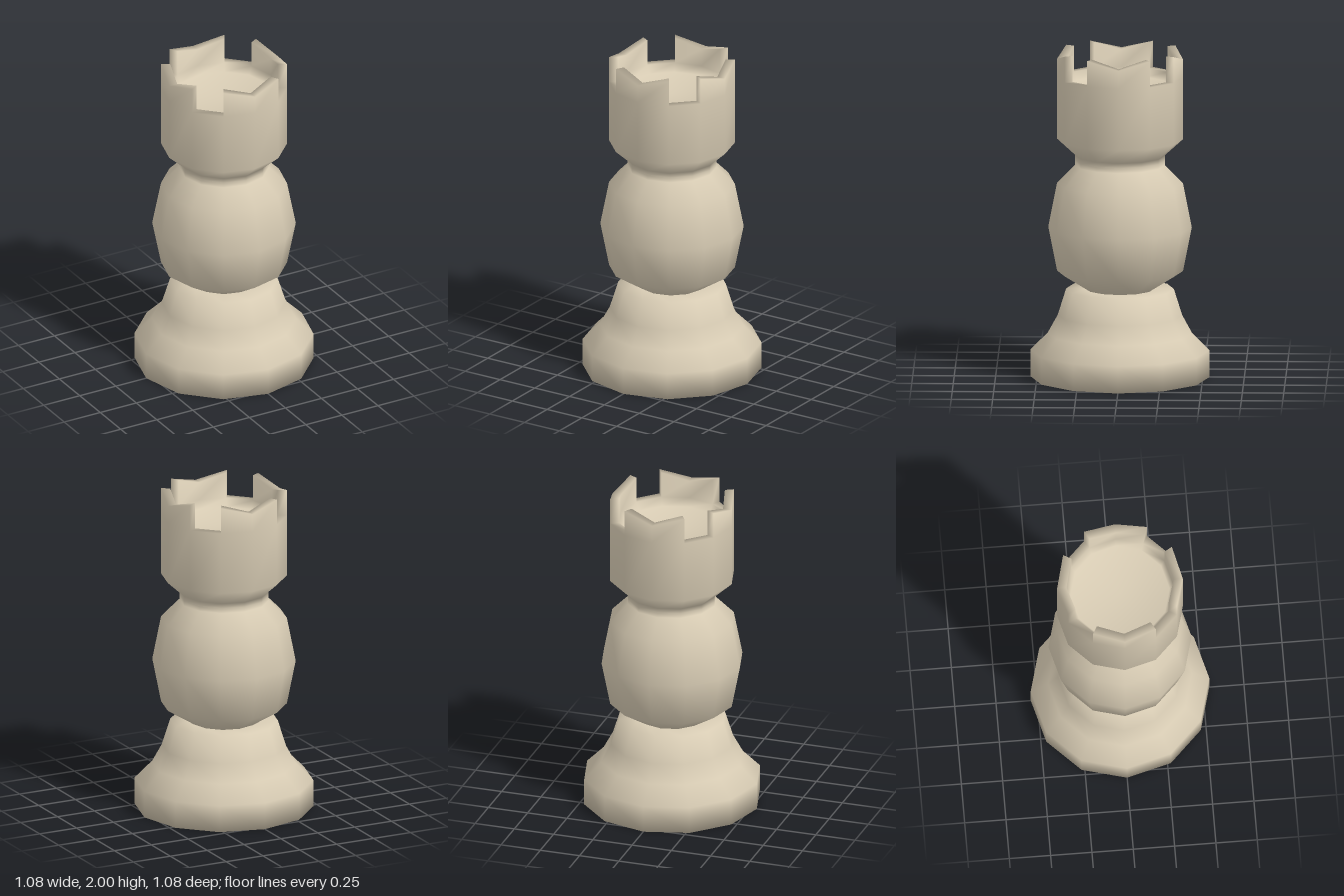
import * as THREE from 'three';

const SIDES = 12;

// Low-sided, smooth-shaded turned part from [radius, height] pairs
function turned(name, profile, material) {
  const points = profile.map(([r, y]) => new THREE.Vector2(r, y));
  const mesh = new THREE.Mesh(new THREE.LatheGeometry(points, SIDES), material);
  mesh.name = name;
  return mesh;
}

// Hollow crown with four merlons, each spanning two sides, and one-side gaps
function crownGeometry() {
  const topY = k => (k % 3 === 0 ? 1.95 : 2.0);
  const rings = [
    [0.27, 1.33], [0.27, 1.36], [0.38, 1.46],
    [0.38, 1.84],           // 3: outer wall at gap level
    [0.38, topY],           // 4: outer merlon top
    [0.325, topY],          // 5: inner merlon top
    [0.325, 1.84],          // 6: inner wall at gap level
    [0.3, 1.79],            // 7: bowl edge
  ];
  const positions = [];
  for (const [r, y] of rings) {
    for (let k = 0; k < SIDES; k++) {
      const a = (k / SIDES) * Math.PI * 2;
      positions.push(r * Math.sin(a), typeof y === 'function' ? y(k) : y, r * Math.cos(a));
    }
  }
  const centre = positions.length / 3;
  positions.push(0, 1.77, 0);

  const index = [];
  const v = (ring, k) => ring * SIDES + (k % SIDES);
  const quad = (a, b, c, d) => index.push(a, b, c, a, c, d);
  const band = (lo, hi, k) => quad(v(lo, k), v(lo, k + 1), v(hi, k + 1), v(hi, k));

  for (let k = 0; k < SIDES; k++) {
    for (let r = 0; r < 3; r++) band(r, r + 1, k);
    if (k % 3 === 1) {
      // gap sill and the merlon ends on both sides of it
      band(3, 6, k);
      quad(v(3, k), v(6, k), v(5, k), v(4, k));
      quad(v(6, k + 1), v(3, k + 1), v(4, k + 1), v(5, k + 1));
    } else {
      for (let r = 3; r < 6; r++) band(r, r + 1, k);
    }
    // bowl floor
    band(6, 7, k);
    index.push(v(7, k), v(7, k + 1), centre);
  }
  const geometry = new THREE.BufferGeometry();
  geometry.setAttribute('position', new THREE.Float32BufferAttribute(positions, 3));
  geometry.setIndex(index);
  geometry.computeVertexNormals();
  return geometry;
}

export function createModel() {
  const ivory = new THREE.MeshStandardMaterial({ color: 0xd8ccb4 });
  ivory.name = 'ivory';

  const model = new THREE.Group();
  model.name = 'chessRook';

  // Flared foot with a flat ledge on top
  model.add(turned('base', [
    [0, 0], [0.54, 0], [0.54, 0.165], [0.435, 0.27],
    [0.375, 0.38], [0.325, 0.54], [0.205, 0.54],
  ], ivory));

  // Rounded middle rising to the neck
  model.add(turned('body', [
    [0.205, 0.54], [0.38, 0.65], [0.433, 0.92],
    [0.38, 1.19], [0.27, 1.3], [0.27, 1.33],
  ], ivory));

  const crown = new THREE.Mesh(crownGeometry(), ivory);
  crown.name = 'crown';
  model.add(crown);
  return model;
}
